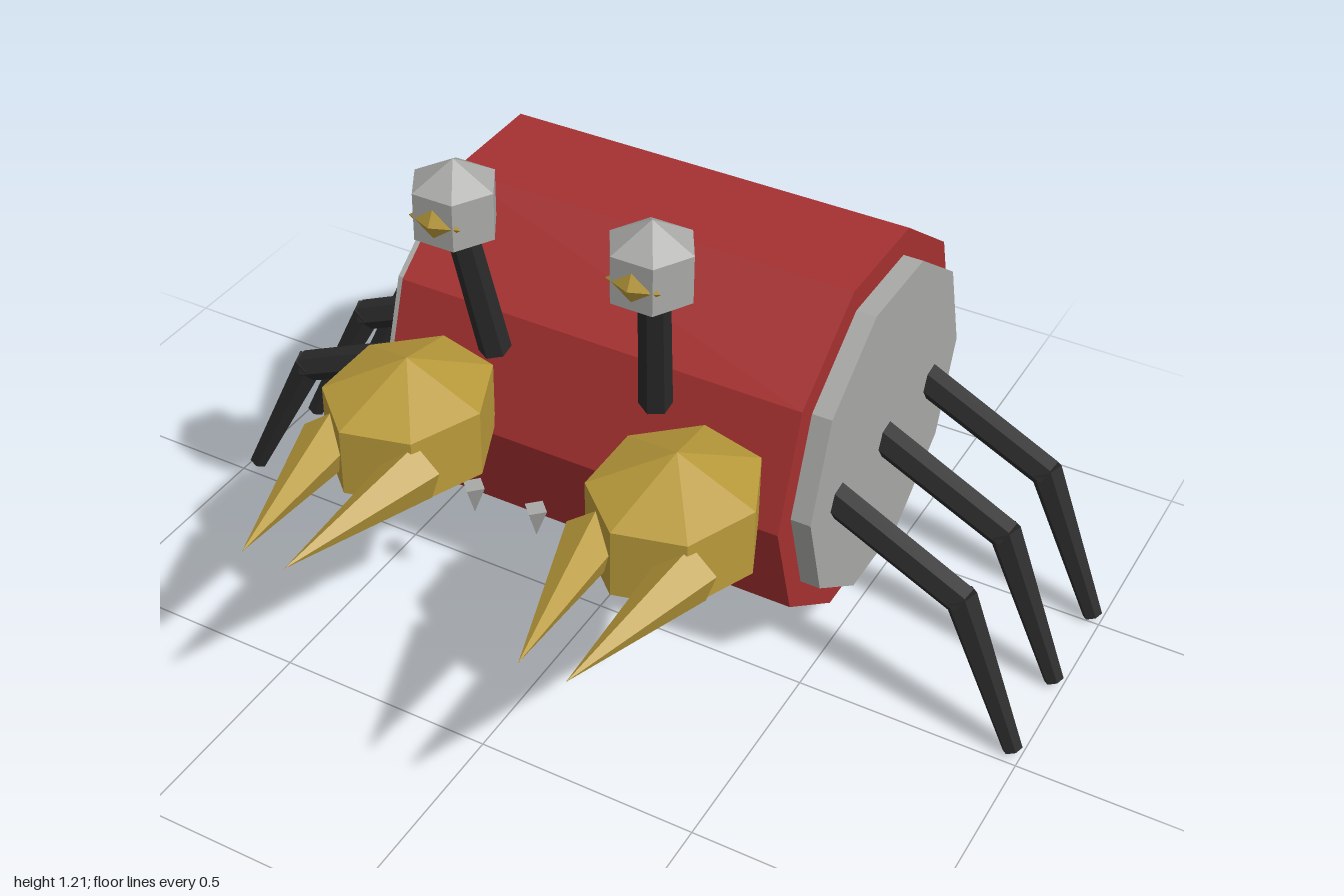
import * as THREE from 'three';

const paint = (name, color) => {
  const m = new THREE.MeshStandardMaterial({ color });
  m.name = name;
  return m;
};

export function createModel() {
  const red = paint('shell red', 0xa53030);
  const grey = paint('bone grey', 0xa8a8a6);
  const gold = paint('claw gold', 0xb8993a);
  const black = paint('limb black', 0x2a2a2a);
  const model = new THREE.Group();
  model.name = 'crab';

  // Faceted mesh with one normal per face
  const add = (parent, name, geometry, material, x = 0, y = 0, z = 0) => {
    const flat = geometry.index ? geometry.toNonIndexed() : geometry;
    flat.computeVertexNormals();
    const mesh = new THREE.Mesh(flat, material);
    mesh.name = name;
    mesh.position.set(x, y, z);
    parent.add(mesh);
    return mesh;
  };

  // Tapered six-sided rod between two points
  const rod = (parent, name, from, to, r0, r1) => {
    const a = new THREE.Vector3(...from), b = new THREE.Vector3(...to);
    const dir = b.clone().sub(a);
    const mesh = add(parent, name, new THREE.CylinderGeometry(r1, r0, dir.length(), 6), black);
    mesh.position.copy(a).add(b).multiplyScalar(0.5);
    mesh.quaternion.setFromUnitVectors(new THREE.Vector3(0, 1, 0), dir.normalize());
  };

  // Ten-sided barrel body and the narrower core showing at both ends
  const barrel = (r, length) => new THREE.CylinderGeometry(r, r, length, 10).rotateZ(Math.PI / 2);
  add(model, 'shell', barrel(0.44, 0.95), red, 0, 0.49, -0.332);
  add(model, 'core', barrel(0.38, 1.04), grey, 0, 0.49, -0.332);

  for (const s of [-1, 1]) {
    const side = s > 0 ? 'left' : 'right';

    // Legs
    for (let i = 0; i < 3; i++) {
      const z = -0.24 * i;
      const leg = new THREE.Group();
      leg.name = `${side}Leg${i + 1}`;
      model.add(leg);
      const knee = [s * 0.825, 0.338, z - 0.06];
      rod(leg, 'upperLeg', [s * 0.46, 0.485, z - 0.095], knee, 0.038, 0.036);
      rod(leg, 'lowerLeg', [s * 0.815, 0.35, z - 0.062], [s * 0.979, 0.012, z - 0.035], 0.037, 0.022);
    }

    // Eye on its stalk
    const eye = new THREE.Group();
    eye.name = `${side}Eye`;
    model.add(eye);
    rod(eye, 'eyeStalk', [s * 0.19, 0.722, 0.108], [s * 0.22, 1.06, 0.178], 0.035, 0.032);
    add(eye, 'eyeball', new THREE.SphereGeometry(0.105, 6, 3), grey, s * 0.22, 1.108, 0.19);
    add(eye, 'pupil', new THREE.OctahedronGeometry(1).scale(0.06, 0.045, 0.024), gold, s * 0.22, 1.106, 0.262);

    // Claw: faceted palm with two pincers leaning together
    const claw = new THREE.Group();
    claw.name = `${side}Claw`;
    claw.position.set(s * 0.315, 0.584, 0.25);
    model.add(claw);
    const palm = new THREE.SphereGeometry(1, 7, 3).rotateY(Math.PI).scale(0.202, 0.157, 0.231);
    add(claw, 'palm', palm, gold);
    for (const p of [-1, 1]) {
      const cone = new THREE.ConeGeometry(0.065, 0.385, 5).rotateY(Math.PI).rotateX(Math.PI / 2);
      const pincer = add(claw, 'pincer', cone, gold, p * 0.078, -0.003, 0.325);
      pincer.rotation.y = -p * 0.142;
    }

    // Teeth
    for (const x of [0.078, 0.235]) {
      const tooth = new THREE.ConeGeometry(0.028, 0.075, 4).rotateX(Math.PI);
      add(model, `${side}Tooth`, tooth, grey, s * x, 0.323, 0.142);
    }
  }
  return model;
}
